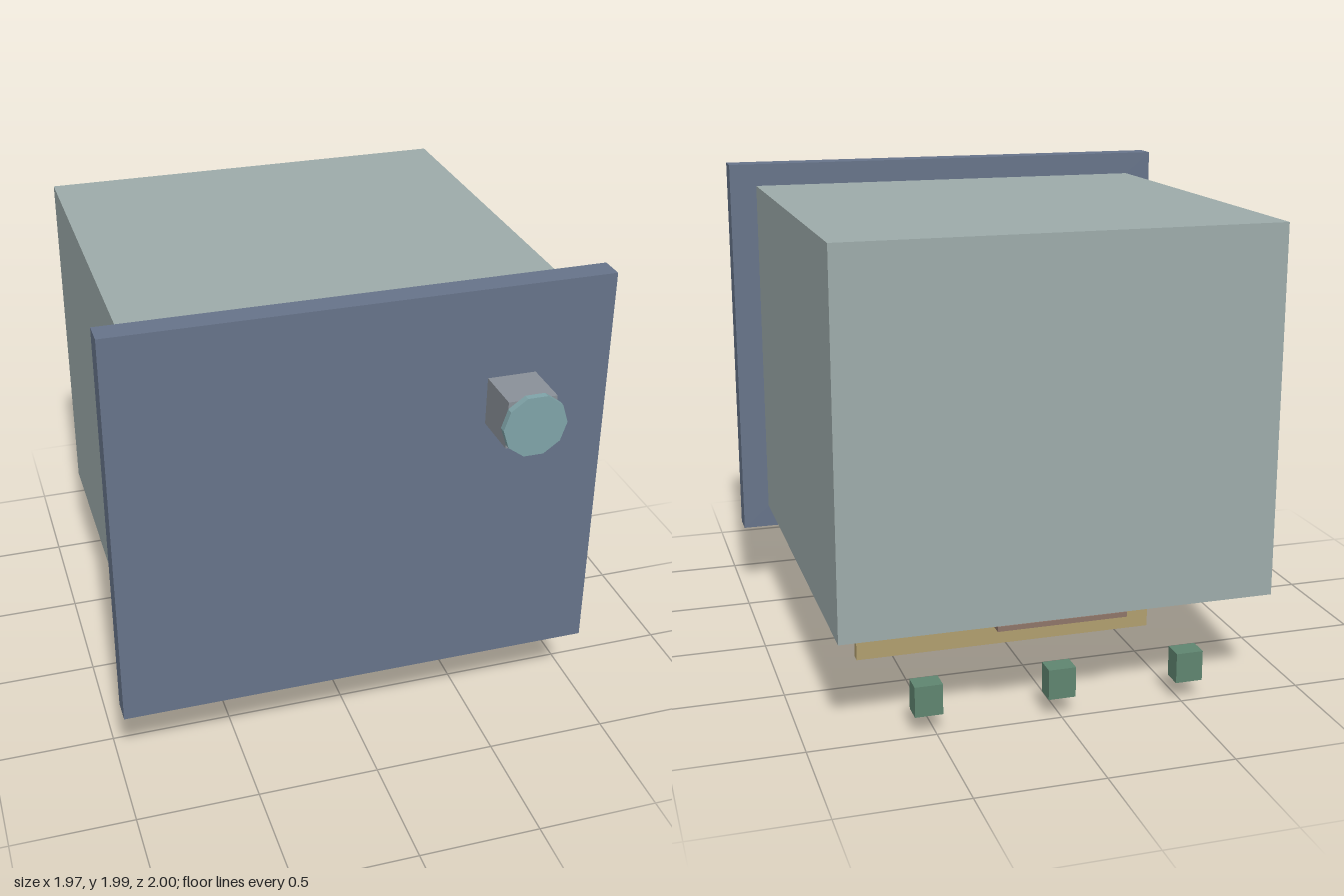
import * as THREE from 'three';

const mat = (color) => new THREE.MeshStandardMaterial({ color, flatShading: true });
const M = {
  body: mat(0x9dabaa), door: mat(0x667389), stem: mat(0x8a9098), disc: mat(0x7fa3a8),
  board: mat(0xb09e6e), peg: mat(0x64728a), foot: mat(0x5f8570),
  tray: mat(0xb4b4b0), pane: mat(0x6f959b), lip: mat(0x8e7568), panel: mat(0x5f6b70),
};

export function createModel() {
  const root = new THREE.Group();

  // Box given by its min and max on each axis
  const box = (name, material, [x0, x1], [y0, y1], [z0, z1], parent = root) => {
    const mesh = new THREE.Mesh(new THREE.BoxGeometry(x1 - x0, y1 - y0, z1 - z0), material);
    mesh.position.set((x0 + x1) / 2, (y0 + y1) / 2, (z0 + z1) / 2);
    mesh.name = name;
    parent.add(mesh);
    return mesh;
  };

  // Main cabinet and front door
  box('cabinet', M.body, [-0.87, 0.87], [0.41, 1.89], [-1, 0.66]);
  box('door', M.door, [-0.985, 0.985], [0.31, 1.985], [0.66, 0.76]);

  // Door knob: square stem and ten-sided disc
  box('knobStem', M.stem, [0.485, 0.68], [1.42, 1.615], [0.76, 0.96]);
  const disc = new THREE.Mesh(
    new THREE.CylinderGeometry(0.128, 0.128, 0.027, 10, 1, false, Math.PI / 2), M.disc);
  disc.rotation.x = Math.PI / 2;
  disc.position.set(0.582, 1.52, 0.9865);
  disc.name = 'knobDisc';
  root.add(disc);

  // Hanging board with a row of pegs on its back
  box('hangingBoard', M.board, [-0.655, 0.655], [0, 0.39], [-0.257, -0.217]);
  for (let i = 0; i < 5; i++) {
    const x = -0.67 + i * 0.315;
    box('peg', M.peg, [x - 0.014, x + 0.014], [0.113, 0.141], [-0.337, -0.257]);
  }

  // Small blocks below the back edge
  for (const x of [-0.53, 0, 0.53]) {
    box('backBlock', M.foot, [x - 0.055, x + 0.055], [0.08, 0.203], [-1, -0.917]);
  }

  // Two rows of trays under the cabinet, each with a pane and a back lip
  for (const z of [0.275, -0.42]) {
    for (const x of [-0.53, 0, 0.53]) {
      const tray = new THREE.Group();
      tray.name = 'trayUnit';
      tray.position.set(x, 0, z);
      root.add(tray);
      box('tray', M.tray, [-0.13, 0.13], [0.373, 0.398], [-0.137, 0.137], tray);
      box('trayPane', M.pane, [-0.11, 0.11], [0.361, 0.373], [-0.11, 0.11], tray);
      box('trayLip', M.lip, [-0.13, 0.13], [0.335, 0.367], [-0.141, -0.116], tray);
    }
  }

  // Framed hatch under the back
  box('hatchFrame', M.lip, [-0.26, 0.26], [0.388, 0.408], [-1, -0.34]);
  box('hatchPanel', M.panel, [-0.19, 0.19], [0.371, 0.388], [-0.928, -0.412]);

  return root;
}
